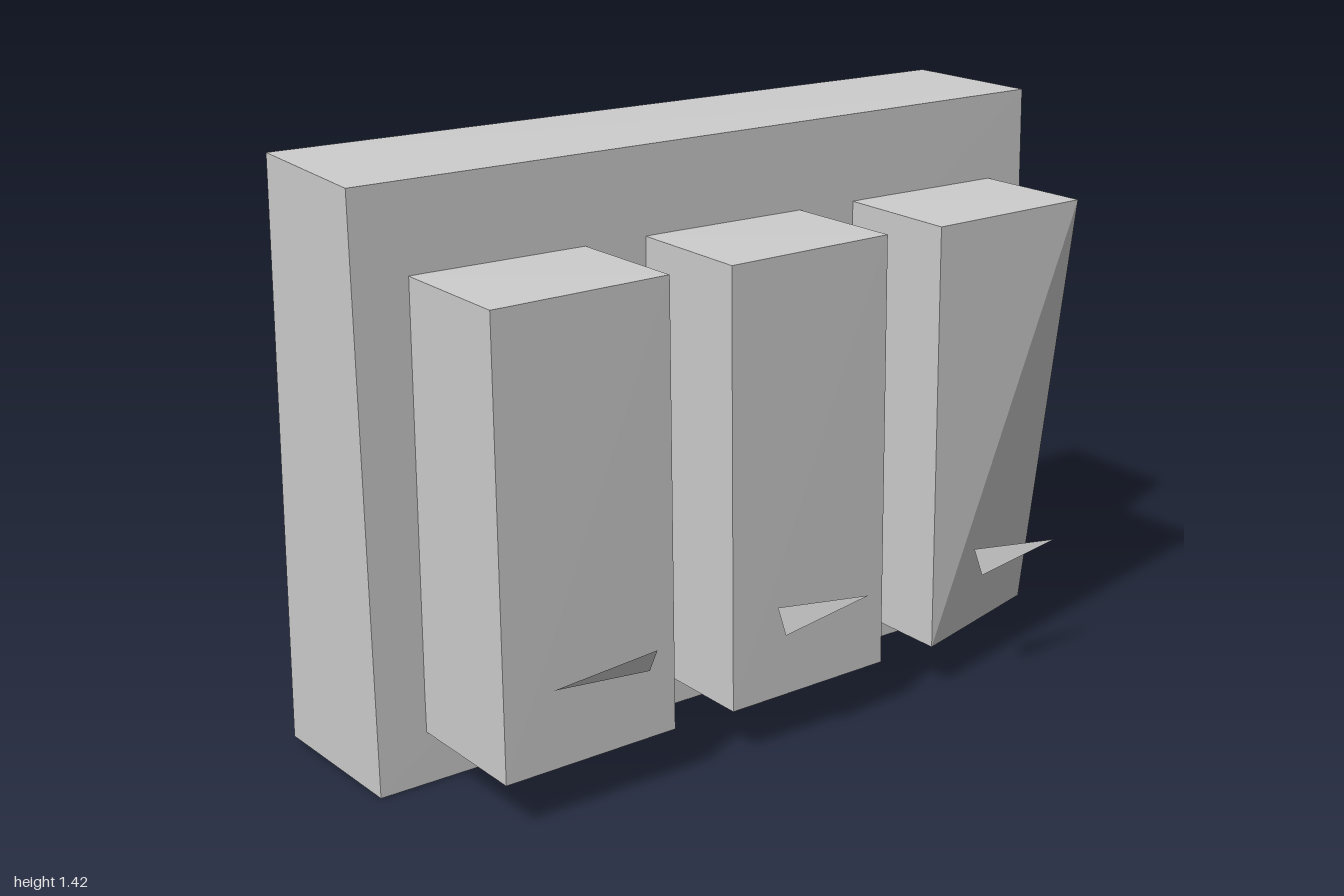
import * as THREE from 'three';

const grey = new THREE.MeshStandardMaterial({ color: 0xcccccc });
grey.name = 'plain grey';
grey.flatShading = true;
grey.side = THREE.DoubleSide;

function facetMesh(name, points, triangles) {
  const geometry = new THREE.BufferGeometry();
  const positions = triangles.flatMap((i) => points[i]);
  geometry.setAttribute('position', new THREE.Float32BufferAttribute(positions, 3));
  geometry.computeVertexNormals();
  const mesh = new THREE.Mesh(geometry, grey);
  mesh.name = name;
  return mesh;
}

// Six-sided block from 8 corners: bottom then top, each back -x, back +x, front +x, front -x
const QUADS = [[3, 2, 6, 7], [2, 1, 5, 6], [1, 0, 4, 5], [0, 3, 7, 4], [7, 6, 5, 4], [3, 0, 1, 2]];
const block = (name, corners) =>
  facetMesh(name, corners, QUADS.flatMap(([a, b, c, d]) => [a, b, c, a, c, d]));

export function createModel() {
  const model = new THREE.Group();
  model.name = 'slabWithBlocks';

  // Upright slab with slightly uneven corners
  model.add(block('slab', [
    [-0.4, 0, -0.99], [0, 0.01, -1], [0, 0, 0.99], [-0.39, 0.015, 1],
    [-0.4, 1.42, -1], [0, 1.42, -0.98], [-0.01, 1.41, 1], [-0.4, 1.425, 0.98],
  ]));

  // Three blocks set into the slab; the rear one has a displaced lower corner
  [0.632, 0, -0.632].forEach((z, i) => {
    const corners = [
      [-0.035, 0.122, z - 0.23], [0.33, 0.125, z - 0.232], [0.33, 0.12, z + 0.23], [-0.035, 0.13, z + 0.232],
      [-0.035, 1.2, z - 0.238], [0.33, 1.2, z - 0.225], [0.325, 1.193, z + 0.232], [-0.035, 1.2, z + 0.225],
    ];
    if (i === 2) corners[1] = [0.115, 0.066, -0.921];
    model.add(block(['frontBlock', 'middleBlock', 'rearBlock'][i], corners));
  });

  // Flat floating spikes beside the blocks; the front one points the other way
  [[0.5, 1], [0.13, -1], [-0.5, -1]].forEach(([z, dir], i) => {
    const tilt = 0.03 * dir;
    const points = [[0.37, 0.34 - tilt, z], [0.4, 0.34 + tilt, z], [0.385, 0.34, z + 0.268 * dir]];
    model.add(facetMesh(['frontSpike', 'middleSpike', 'rearSpike'][i], points, [0, 2, 1]));
  });

  return model;
}
